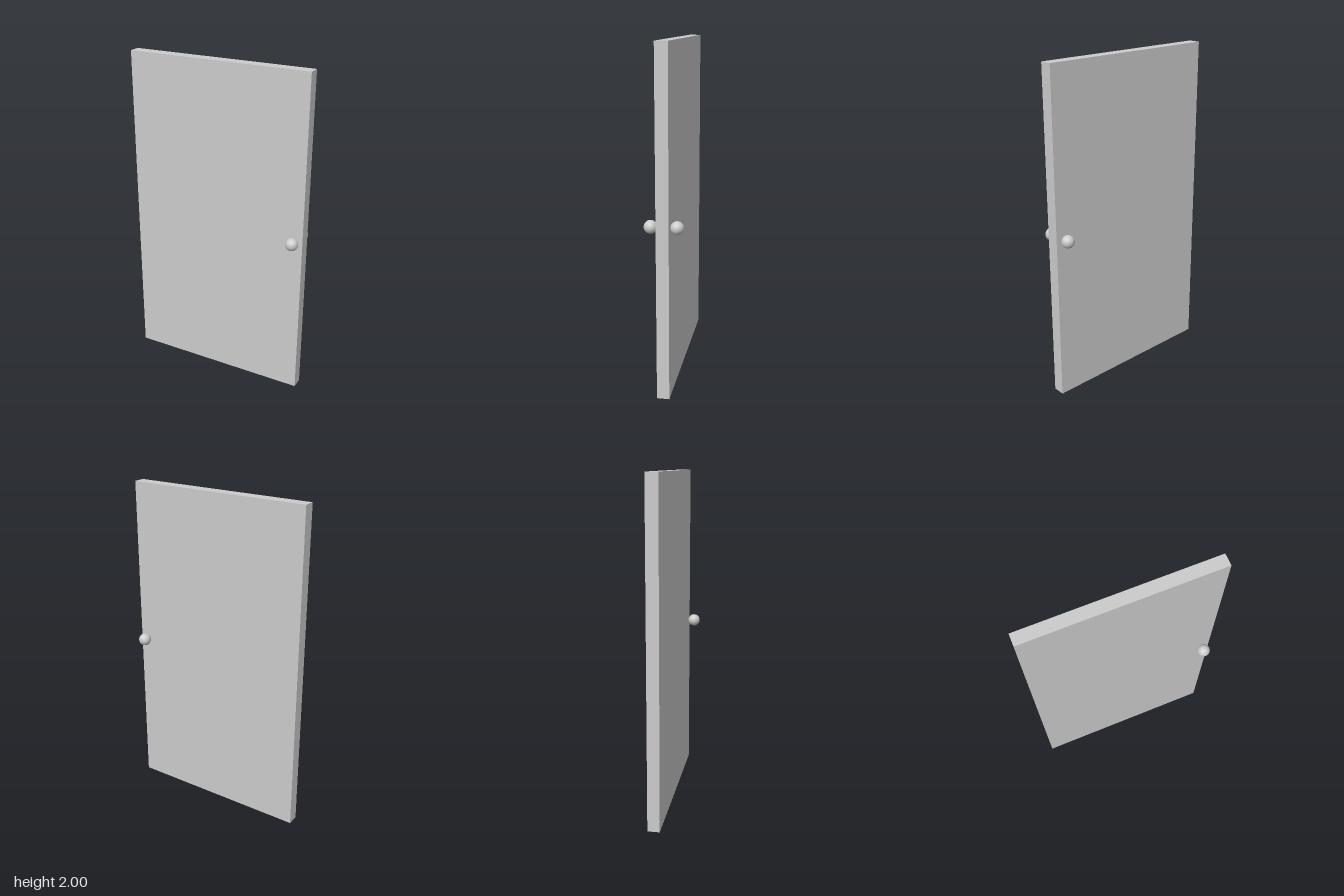
import * as THREE from 'three';

export function createModel() {
  const model = new THREE.Group();
  model.name = 'door';
  const material = new THREE.MeshStandardMaterial({ color: 0xcccccc });

  // Plain slab standing on the ground
  const panel = new THREE.Mesh(new THREE.BoxGeometry(1.13, 2, 0.072), material);
  panel.name = 'doorPanel';
  panel.position.y = 1;
  model.add(panel);

  // One round knob on each face
  const knobGeometry = new THREE.SphereGeometry(0.038, 32, 20);
  for (const side of [1, -1]) {
    const knob = new THREE.Mesh(knobGeometry, material);
    knob.name = side > 0 ? 'frontKnob' : 'backKnob';
    knob.position.set(0.514, 1.008, side * 0.074);
    model.add(knob);
  }

  return model;
}
